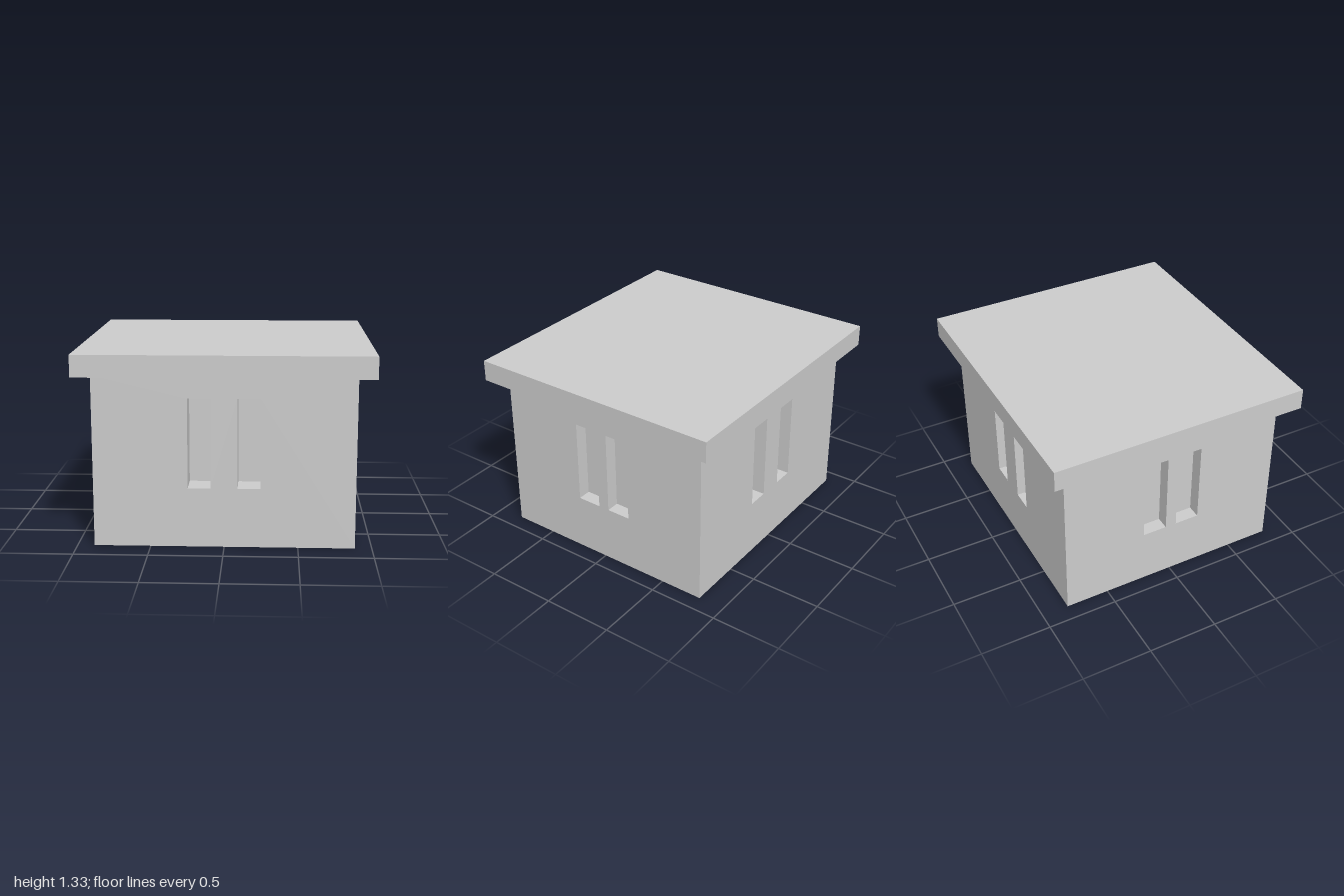
import * as THREE from 'three';

const material = new THREE.MeshStandardMaterial({ color: 0xcccccc, flatShading: true });

const X = 0.885, Z = 0.81, H = 1.18;            // body half sizes and height
const FRONT_DEPTH = 0.19, SIDE_DEPTH = 0.095;   // window recess depths

function box(name, w, h, d, y) {
  const mesh = new THREE.Mesh(new THREE.BoxGeometry(w, h, d), material);
  mesh.name = name;
  mesh.position.y = y + h / 2;
  return mesh;
}

function rect(path, x0, y0, x1, y1) {
  path.moveTo(x0, y0);
  path.lineTo(x1, y0);
  path.lineTo(x1, y1);
  path.lineTo(x0, y1);
  path.closePath();
  return path;
}

// Wall slab with a mirrored pair of slot windows, turned to face its side
function wall(name, half, depth, distance, angle, slot) {
  const shape = rect(new THREE.Shape(), -half, 0, half, H);
  const { inner, outer, bottom, top } = slot;
  shape.holes.push(
    rect(new THREE.Path(), inner, bottom, outer, top),
    rect(new THREE.Path(), -outer, bottom, -inner, top)
  );
  const geometry = new THREE.ExtrudeGeometry(shape, { depth, bevelEnabled: false });
  geometry.translate(0, 0, distance - depth);
  geometry.rotateY(angle);
  const mesh = new THREE.Mesh(geometry, material);
  mesh.name = name;
  return mesh;
}

export function createModel() {
  const group = new THREE.Group();
  group.name = 'building';

  // Solid core forms the back of every window recess
  const coreX = X - SIDE_DEPTH, coreZ = Z - FRONT_DEPTH;
  group.add(box('core', coreX * 2, H, coreZ * 2, 0));

  // Front and back walls span the full width; side walls fit between them
  const frontSlot = { inner: 0.09, outer: 0.245, bottom: 0.41, top: 1.025 };
  const sideSlot = { inner: 0.04, outer: 0.215, bottom: 0.41, top: 1.01 };
  group.add(
    wall('frontWall', X, FRONT_DEPTH, Z, 0, frontSlot),
    wall('backWall', X, FRONT_DEPTH, Z, Math.PI, frontSlot),
    wall('leftWall', coreZ, SIDE_DEPTH, X, Math.PI / 2, sideSlot),
    wall('rightWall', coreZ, SIDE_DEPTH, X, -Math.PI / 2, sideSlot)
  );

  // Overhanging flat roof
  group.add(box('roof', 2, 0.15, 1.845, H));
  return group;
}
